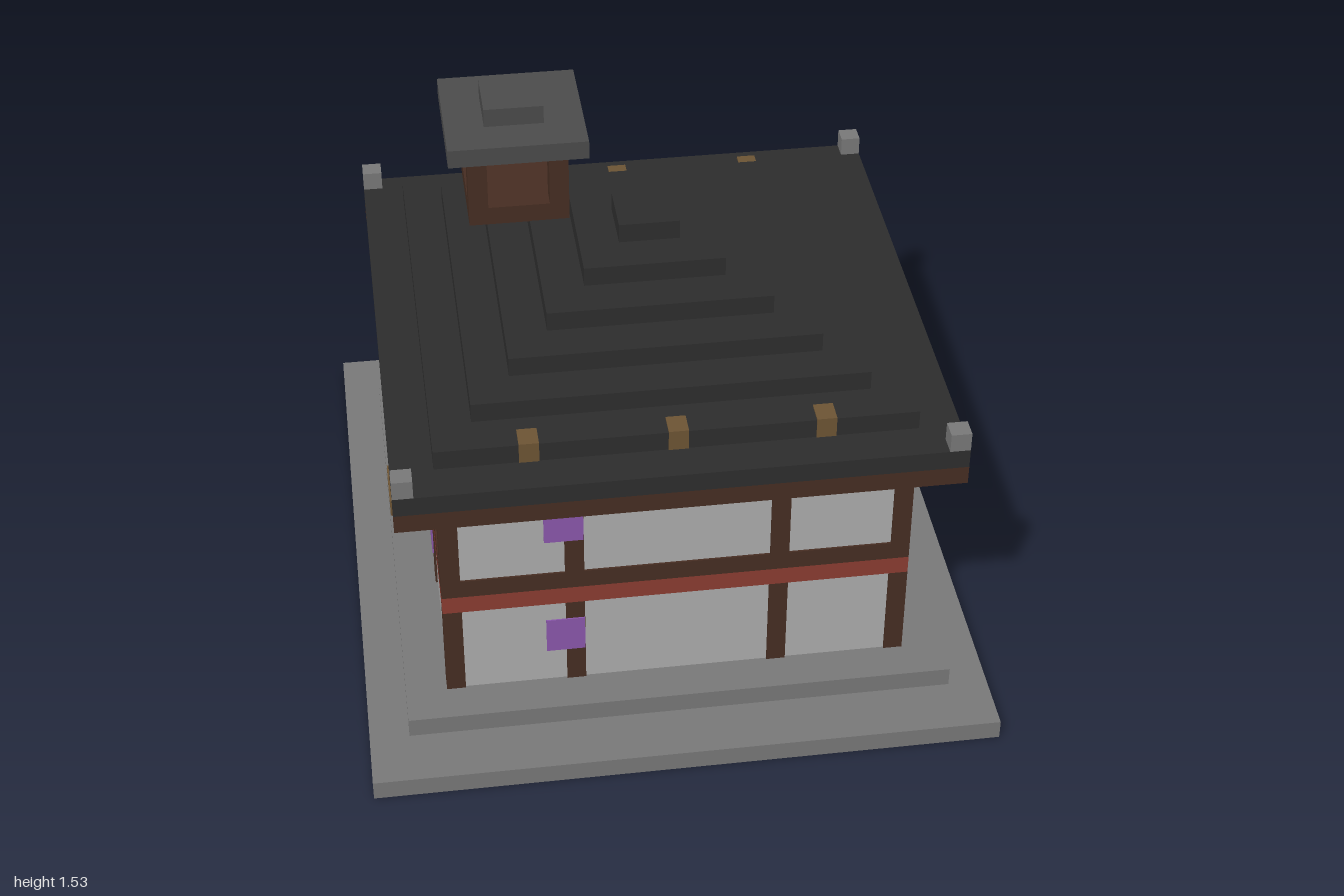
import * as THREE from 'three';

const material = (name, color) => {
  const m = new THREE.MeshStandardMaterial({ color });
  m.name = name;
  return m;
};

export function createModel() {
  const model = new THREE.Group();
  model.name = 'timberHouse';

  const stone = material('stone', 0x787878);
  const plaster = material('plaster', 0xacacac);
  const timber = material('darkTimber', 0x462d22);
  const red = material('redBeam', 0x8a3c31);
  const roofing = material('roofTile', 0x2d2d2d);
  const cap = material('capStone', 0x4b4b4b);
  const gold = material('paleTimber', 0x6c5434);
  const glass = material('purpleGlass', 0x8a57ab);

  // Box given by its lower and upper limits on each axis
  const box = (name, mat, x0, x1, y0, y1, z0, z1, parent = model) => {
    const mesh = new THREE.Mesh(new THREE.BoxGeometry(x1 - x0, y1 - y0, z1 - z0), mat);
    mesh.position.set((x0 + x1) / 2, (y0 + y1) / 2, (z0 + z1) / 2);
    mesh.name = name;
    parent.add(mesh);
    return mesh;
  };
  const group = (name) => {
    const g = new THREE.Group();
    g.name = name;
    model.add(g);
    return g;
  };

  // Stone footing and doorstep
  box('footing', stone, -0.91, 0.91, 0, 0.06, -1, 1);
  box('plinth', stone, -0.795, 0.795, 0.06, 0.12, -0.77, 0.825);
  box('doorstep', stone, -0.2, 0.14, 0.06, 0.12, -0.83, -0.77);

  // House body: recessed plaster inside a timber frame
  const W = 0.675, ZF = 0.71, ZB = -0.64, P = 0.055, R = 0.006;
  box('plasterWalls', plaster, -W + R, W - R, 0.12, 0.85, ZB + R, ZF - R);
  box('lowerRedBand', red, -W, W, 0.415, 0.472, ZB, ZF);
  box('middleBeam', timber, -W, W, 0.472, 0.53, ZB, ZF);
  box('upperRedBand', red, -W, W, 0.83, 0.887, ZB, ZF);

  const posts = group('wallPosts');
  for (const [y0, y1] of [[0.12, 0.415], [0.53, 0.83]]) {
    for (const x of [-W, W - P])
      for (const z of [ZB, ZF - P]) box('cornerPost', timber, x, x + P, y0, y1, z, z + P, posts);
    for (const x of [-0.322, 0.268])
      for (const z of [ZB, ZF - P]) box('wallPost', timber, x, x + P, y0, y1, z, z + P, posts);
    for (const z of [-0.173, 0.185])
      for (const x of [-W, W - P]) box('sidePost', timber, x, x + P, y0, y1, z, z + P, posts);
  }

  // Window panes as thin plates
  const windows = group('windows');
  const T = 0.004;
  for (const [y0, y1] of [[0.238, 0.355], [0.65, 0.766]]) {
    box('frontWindow', glass, -0.38, -0.268, y0, y1, ZF, ZF + T, windows);
    box('backWindow', glass, -0.38, -0.268, y0, y1, ZB - T, ZB, windows);
    for (const z of [-0.35, 0.122])
      for (const x of [-W - T, W]) box('sideWindow', glass, x, x + T, y0, y1, z, z + 0.117, windows);
  }

  // T-shaped brackets on both sides
  for (const s of [-1, 1]) {
    const g = group('sideBracket');
    const span = (a, b) => (s > 0 ? [a, b] : [-b, -a]);
    box('bracketStem', gold, ...span(0.67, 0.737), 0.3, 0.355, 0, 0.06, g);
    box('bracketBar', gold, ...span(0.737, 0.795), 0.3, 0.355, -0.055, 0.12, g);
  }

  // Back entrance: columns with pale joints, cross beam, door and hood
  const porch = group('backPorch');
  for (const x of [-0.495, 0.442]) {
    for (const [y0, y1] of [[0.12, 0.355], [0.415, 0.77]])
      box('porchColumn', timber, x, x + 0.055, y0, y1, -0.762, -0.705, porch);
    for (const y of [0.355, 0.77])
      box('columnJoint', gold, x, x + 0.055, y, y + 0.06, -0.762, -0.705, porch);
  }
  box('porchBeam', timber, -0.44, 0.442, 0.36, 0.415, -0.762, -0.705, porch);
  box('beamPost', timber, 0.388, 0.442, 0.12, 0.36, -0.762, -0.705, porch);
  box('door', timber, -0.075, 0.03, 0.12, 0.2, ZB - 0.002, ZB + 0.01, porch);
  box('doorTop', timber, -0.06, 0.015, 0.2, 0.22, ZB - 0.002, ZB + 0.01, porch);
  box('doorHood', roofing, -0.145, 0.145, 0.3, 0.332, ZB - 0.006, ZB + 0.01, porch);
  box('doorHoodLower', roofing, -0.115, 0.115, 0.275, 0.3, ZB - 0.006, ZB + 0.01, porch);

  // Eave boards and stepped roof
  box('frontEaveBoard', timber, -0.795, 0.795, 0.83, 0.887, 0.77, 0.825);
  box('backEaveBoard', timber, -0.795, 0.795, 0.83, 0.887, -0.77, -0.712);
  const roof = group('steppedRoof');
  const layers = [
    [0.795, -0.77, 0.825], [0.675, -0.645, 0.71], [0.56, -0.53, 0.59], [0.443, -0.41, 0.473],
    [0.323, -0.293, 0.355], [0.203, -0.18, 0.235], [0.088, -0.057, 0.117],
  ];
  layers.forEach(([x, z0, z1], i) => {
    const y = 0.887 + i * 0.0588;
    box('roofLayer', roofing, -x, x, y, y + 0.0588, z0, z1, roof);
  });
  for (const x of [-0.795, 0.737])
    for (const z of [-0.77, 0.768]) box('cornerStone', stone, x, x + 0.058, 0.945, 1.003, z, z + 0.057, roof);
  for (const x of [-0.413, 0, 0.413])
    for (const z of [-0.649, 0.645])
      box('rafterEnd', gold, x - 0.028, x + 0.028, 0.946, 1.009, z, z + 0.068, roof);

  // Open turret on the roof
  const turret = group('roofTurret');
  box('turretBase', timber, -0.5, -0.205, 1.18, 1.237, -0.41, -0.115, turret);
  for (const x of [-0.5, -0.262])
    for (const z of [-0.41, -0.173]) box('turretPost', timber, x, x + 0.057, 1.237, 1.418, z, z + 0.058, turret);
  box('turretBar', gold, -0.442, -0.265, 1.3, 1.357, -0.468, -0.41, turret);
  box('turretCap', cap, -0.557, -0.15, 1.418, 1.475, -0.468, -0.06, turret);
  box('turretTop', cap, -0.442, -0.268, 1.475, 1.532, -0.35, -0.178, turret);

  return model;
}
